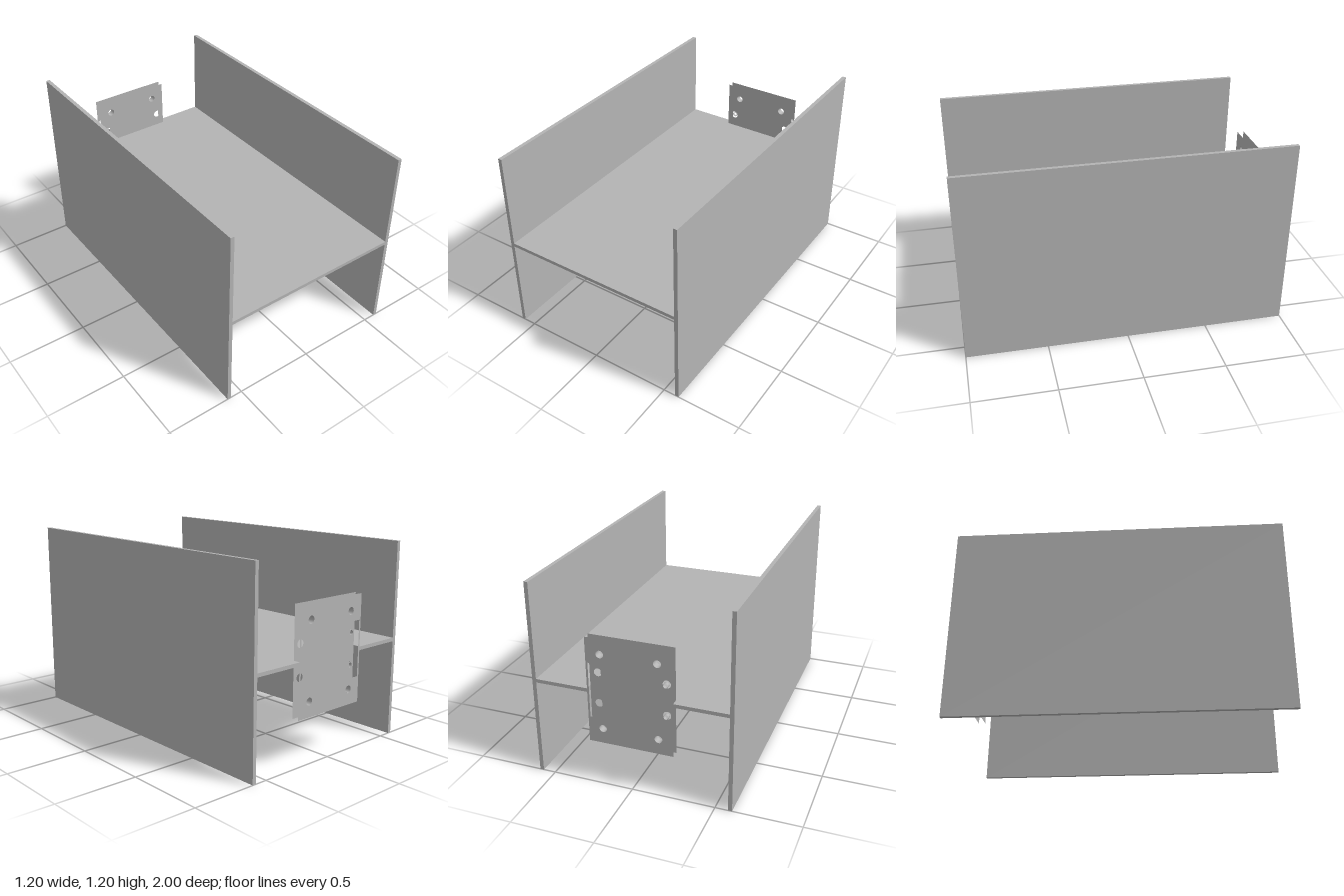
import * as THREE from 'three';

const H = 1.2, T = 0.024, MID = 0.601;
const Z_OUT = -0.999, Z_IN = -0.956;

function polygon(points, Type = THREE.Shape) {
  return new Type(points.map(([x, y]) => new THREE.Vector2(x, y)));
}

function circle(x, y, r) {
  const p = new THREE.Path();
  p.absarc(x, y, r, 0, Math.PI * 2, true);
  return p;
}

const rect = (x0, y0, x1, y1) => [[x0, y0], [x1, y0], [x1, y1], [x0, y1]];

export function createModel() {
  const group = new THREE.Group();
  const steel = new THREE.MeshStandardMaterial({ color: 0xb4b4b4, side: THREE.DoubleSide });
  steel.name = 'grey steel';

  const add = (name, geometry, x = 0, y = 0, z = 0) => {
    const mesh = new THREE.Mesh(geometry, steel);
    mesh.name = name;
    mesh.position.set(x, y, z);
    group.add(mesh);
    return mesh;
  };

  // Two upright flanges of the beam
  for (const s of [-1, 1]) {
    add(s > 0 ? 'leftFlange' : 'rightFlange', new THREE.BoxGeometry(T, H, 2), s * (0.6 - T / 2), H / 2, 0);
  }

  // Horizontal web, notched at the back for the plates
  const w = 0.6 - T;
  const webShape = polygon([
    [-w, -1], [w, -1], [w, 1], [0.255, 1], [0.255, 0.955], [-0.257, 0.955], [-0.257, 1], [-w, 1],
  ]);
  const web = new THREE.ExtrudeGeometry(webShape, { depth: 0.022, bevelEnabled: false });
  web.rotateX(-Math.PI / 2);
  add('web', web, 0, MID - 0.011, 0);

  // Bolt holes shared by both sheets, lined by sleeves
  const bolts = [];
  for (const x of [-0.168, 0.168]) for (const y of [0.37, 0.835]) bolts.push([x, y]);
  const sheet = () => polygon(rect(-0.257, 0.277, 0.255, 0.928));

  // Inner sheet with four extra screw holes
  const inner = sheet();
  const screws = [];
  for (const x of [-0.205, 0.205]) for (const y of [0.506, 0.699]) screws.push([x, y]);
  for (const [x, y] of bolts) inner.holes.push(circle(x, y, 0.023));
  for (const [x, y] of screws) inner.holes.push(circle(x, y, 0.024));
  add('innerPlate', new THREE.ShapeGeometry(inner, 24), 0, 0, Z_IN);

  // Outer sheet with tall access windows and a small pilot hole
  const outer = sheet();
  for (const [x, y] of bolts) outer.holes.push(circle(x, y, 0.023));
  outer.holes.push(polygon(rect(-0.245, 0.435, -0.167, 0.773), THREE.Path));
  outer.holes.push(polygon(rect(0.165, 0.435, 0.243, 0.773), THREE.Path));
  outer.holes.push(circle(0.032, 0.42, 0.01));
  add('outerPlate', new THREE.ShapeGeometry(outer, 24), 0, 0, Z_OUT);

  // Sleeves joining the sheets
  const sleeve = new THREE.CylinderGeometry(0.023, 0.023, Z_IN - Z_OUT, 24, 1, true);
  sleeve.rotateX(Math.PI / 2);
  for (const [x, y] of bolts) add('boltSleeve', sleeve, x, y, (Z_IN + Z_OUT) / 2);

  // Short collars at the screw holes on one side
  const collar = new THREE.CylinderGeometry(0.015, 0.015, 0.02, 20, 1, true);
  collar.rotateX(Math.PI / 2);
  for (const [x, y] of screws) if (x < 0) add('screwCollar', collar, x, y, Z_IN - 0.01);

  return group;
}
